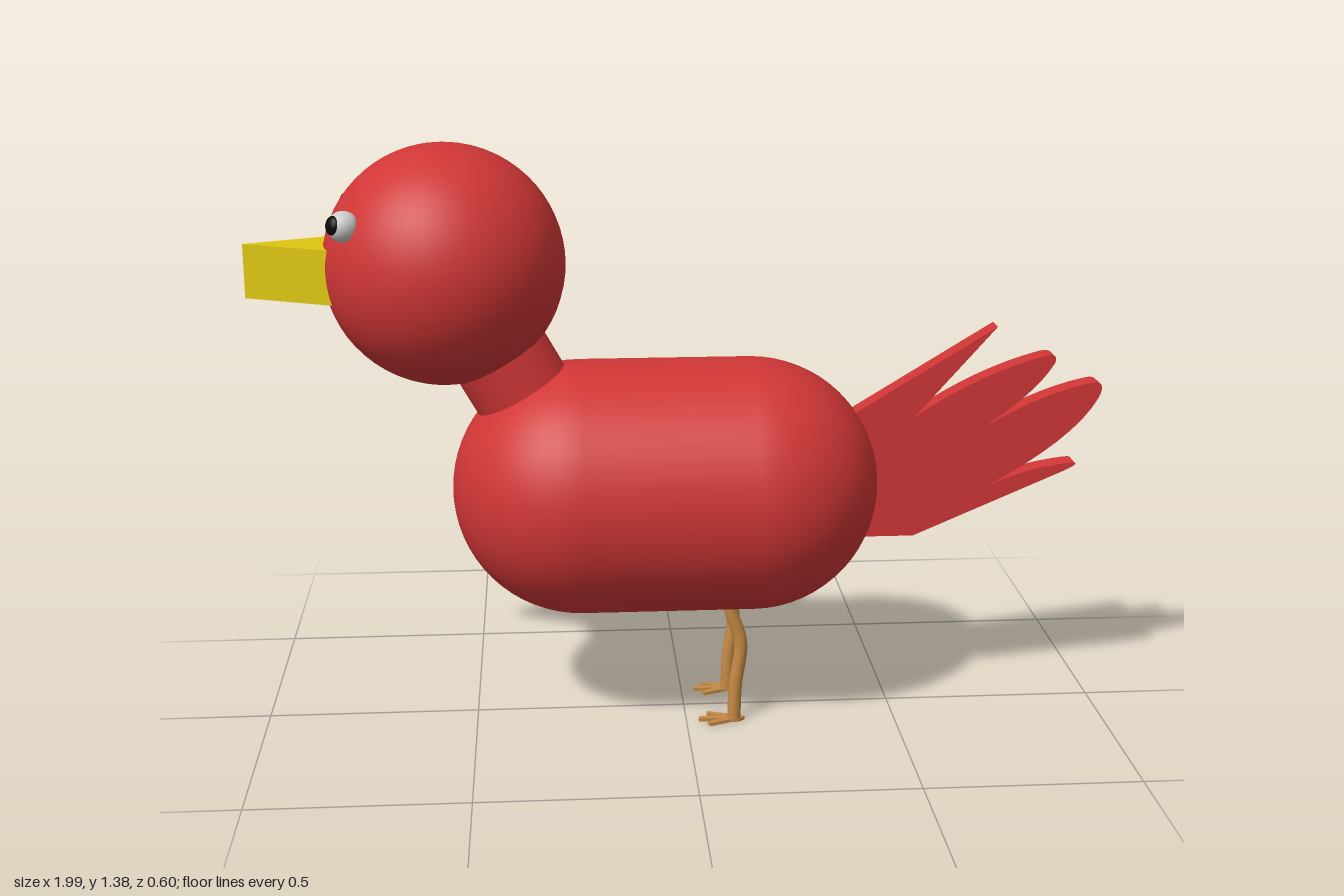
import * as THREE from 'three';

const mat = (color) => new THREE.MeshStandardMaterial({ color });
const RED = mat(0xd03636), YELLOW = mat(0xdec610), TAN = mat(0xc68a45);
const WHITE = mat(0xcccccc), BLACK = mat(0x080808);
const V = (x, y, z = 0) => new THREE.Vector3(x, y, z);
const UP = V(0, 1, 0);

function add(parent, name, geometry, material, position = V(0, 0, 0)) {
  const mesh = new THREE.Mesh(geometry, material);
  mesh.name = name;
  mesh.position.copy(position);
  parent.add(mesh);
  return mesh;
}

// Straight-edged outline extruded without bevel
function slab(shape, depth) {
  return new THREE.ExtrudeGeometry(shape, { depth, bevelEnabled: false, curveSegments: 8 });
}

// Fan of four feathers cut from one flat slab
function tailShape() {
  const s = new THREE.Shape();
  s.moveTo(0.3, 0.43);
  s.lineTo(0.55, 0.43);
  s.lineTo(0.91, 0.585);
  s.quadraticCurveTo(0.965, 0.61, 0.91, 0.603);
  s.quadraticCurveTo(0.8, 0.59, 0.71, 0.543);
  s.quadraticCurveTo(0.93, 0.66, 0.985, 0.765);
  s.quadraticCurveTo(1.005, 0.81, 0.96, 0.8);
  s.quadraticCurveTo(0.82, 0.77, 0.67, 0.67);
  s.quadraticCurveTo(0.83, 0.77, 0.875, 0.85);
  s.quadraticCurveTo(0.885, 0.875, 0.85, 0.868);
  s.quadraticCurveTo(0.7, 0.83, 0.545, 0.725);
  s.lineTo(0.735, 0.94);
  s.lineTo(0.4, 0.735);
  s.lineTo(0.3, 0.68);
  return s;
}

// Three forward toes and a short heel
function footShape() {
  return new THREE.Shape([
    [0.14, 0], [0.125, 0.014], [0.105, 0.016], [0.055, 0.036], [0.05, 0.026],
    [0.085, 0.008], [0.03, 0.006], [0.03, -0.006], [0.085, -0.008],
    [0.05, -0.026], [0.055, -0.036], [0.105, -0.016], [0.125, -0.014],
  ].map(([x, y]) => new THREE.Vector2(x, y)));
}

export function createModel() {
  const bird = new THREE.Group();
  bird.name = 'bird';
  const headCentre = V(-0.547, 1.103), chest = V(-0.243, 0.566);

  // Body, head and the neck joining them
  const body = new THREE.CapsuleGeometry(0.3, 0.403, 16, 48).rotateZ(Math.PI / 2);
  add(bird, 'body', body, RED, V(-0.042, 0.566));
  add(bird, 'head', new THREE.SphereGeometry(0.276, 48, 32), RED, headCentre);
  const axis = headCentre.clone().sub(chest);
  const neck = add(bird, 'neck', new THREE.CylinderGeometry(0.115, 0.115, axis.length(), 40), RED,
    headCentre.clone().add(chest).multiplyScalar(0.5));
  neck.quaternion.setFromUnitVectors(UP, axis.normalize());

  // Wedge beak
  const wedge = new THREE.Shape();
  wedge.moveTo(-1, 0);
  wedge.lineTo(-0.72, -0.13);
  wedge.lineTo(-0.72, 0.13);
  add(bird, 'beak', slab(wedge, 0.125).rotateX(-Math.PI / 2), YELLOW, V(0, 1.03, 0));

  // Tail
  add(bird, 'tail', slab(tailShape(), 0.054), RED, V(0, 0, -0.034));

  for (const side of [1, -1]) {
    const label = side > 0 ? 'front' : 'back';

    // Eye with a pupil set on its outer face
    const eye = new THREE.Group();
    eye.name = label + 'Eye';
    eye.position.set(-0.757, 1.218, side * 0.152);
    const out = V(-0.8, 0.2, side * 0.56).normalize();
    add(eye, 'eyeball', new THREE.SphereGeometry(0.035, 24, 16), WHITE);
    const pupil = add(eye, 'pupil', new THREE.SphereGeometry(0.022, 20, 12), BLACK,
      out.clone().multiplyScalar(0.026));
    pupil.scale.y = 0.6;
    pupil.quaternion.setFromUnitVectors(UP, out);
    bird.add(eye);

    // Bent leg and flat foot
    const leg = new THREE.Group();
    leg.name = label + 'Leg';
    leg.position.z = 0.007 + side * 0.092;
    const path = new THREE.CatmullRomCurve3(
      [V(0.085, 0.36), V(0.108, 0.27), V(0.129, 0.2), V(0.117, 0.09), V(0.114, 0.004)]);
    add(leg, 'shank', new THREE.TubeGeometry(path, 20, 0.016, 14), TAN);
    add(leg, 'foot', slab(footShape(), 0.008).rotateX(-Math.PI / 2), TAN);
    bird.add(leg);
  }
  return bird;
}
